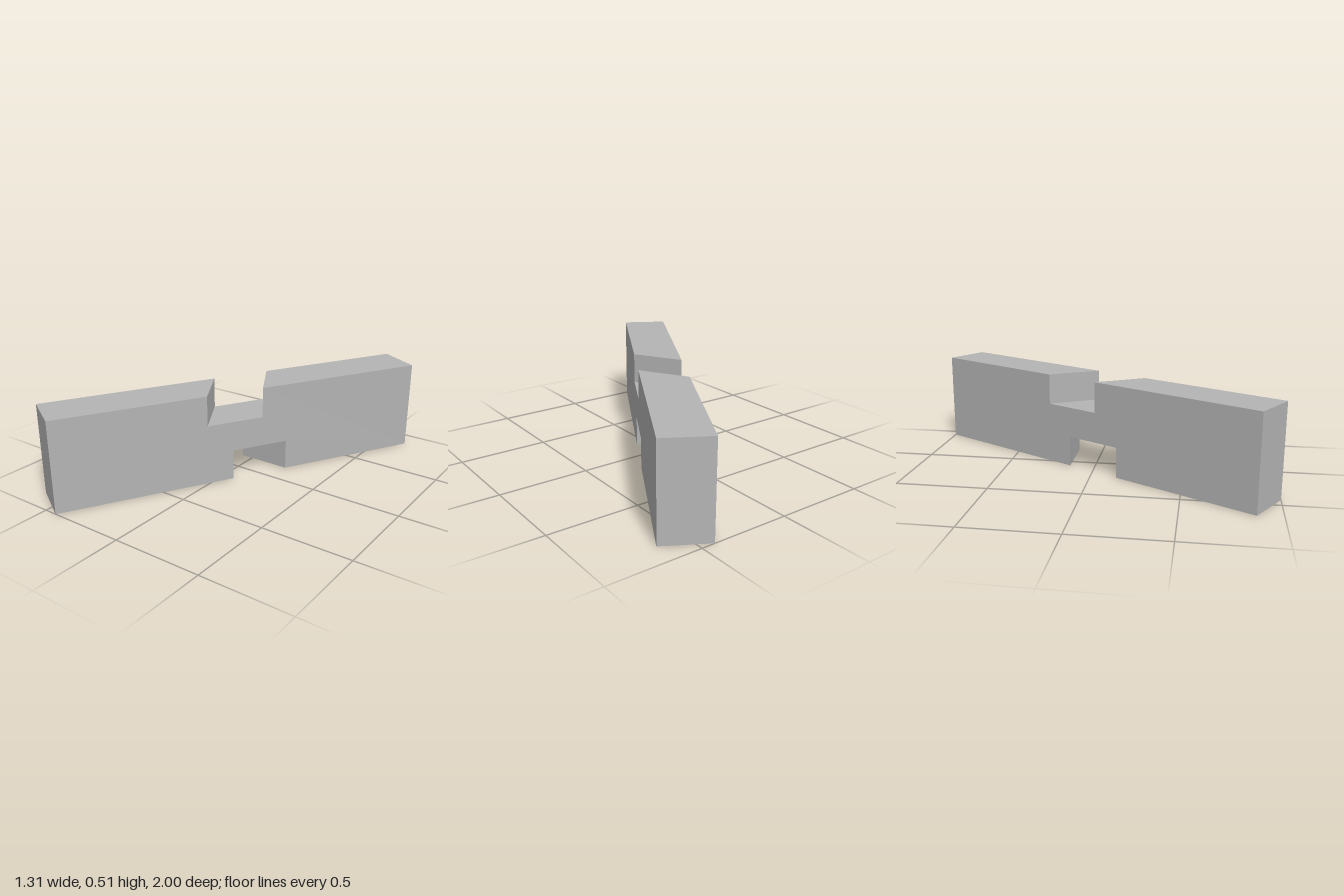
import * as THREE from 'three';

const HALF_LENGTH = 1.08, HALF_WIDTH = 0.13, HEIGHT = 0.51;
const NOTCH = 0.164, NOTCH_LOW = 0.17, NOTCH_HIGH = 0.34;
const SKEW = Math.tan(Math.PI / 6);

// Side outline of the beam at depth v, counter-clockwise.
// The lower notch leans one way across the beam and the upper notch the other.
function outline(v) {
  const s = SKEW * v;
  return [
    [-HALF_LENGTH, 0], [-NOTCH + s, 0], [-NOTCH + s, NOTCH_LOW],
    [NOTCH + s, NOTCH_LOW], [NOTCH + s, 0], [HALF_LENGTH, 0],
    [HALF_LENGTH, HEIGHT], [NOTCH - s, HEIGHT], [NOTCH - s, NOTCH_HIGH],
    [-NOTCH - s, NOTCH_HIGH], [-NOTCH - s, HEIGHT], [-HALF_LENGTH, HEIGHT],
  ].map(([x, y]) => new THREE.Vector3(x, y, v));
}

function beamGeometry() {
  const back = outline(-HALF_WIDTH), front = outline(HALF_WIDTH);
  const points = [];

  // Ends, top, bottom and notch walls
  front.forEach((f, i) => {
    const j = (i + 1) % front.length;
    points.push(back[i], back[j], front[j], back[i], front[j], f);
  });

  // Two long sides
  const addSide = (ring, flip) => {
    const flat = ring.map((p) => new THREE.Vector2(p.x, p.y));
    for (const [a, b, c] of THREE.ShapeUtils.triangulateShape(flat, [])) {
      points.push(ring[a], ring[flip ? c : b], ring[flip ? b : c]);
    }
  };
  addSide(front, false);
  addSide(back, true);

  const geometry = new THREE.BufferGeometry().setFromPoints(points);
  geometry.computeVertexNormals();
  return geometry;
}

export function createModel() {
  const group = new THREE.Group();
  group.name = 'notchedBeam';

  const grey = new THREE.MeshStandardMaterial({ color: 0xb4b4b4 });
  grey.name = 'grey';

  // Beam with crossing half-lap notches, laid at sixty degrees
  const beam = new THREE.Mesh(beamGeometry(), grey);
  beam.name = 'beam';
  beam.rotation.y = Math.PI / 3;
  group.add(beam);
  return group;
}
